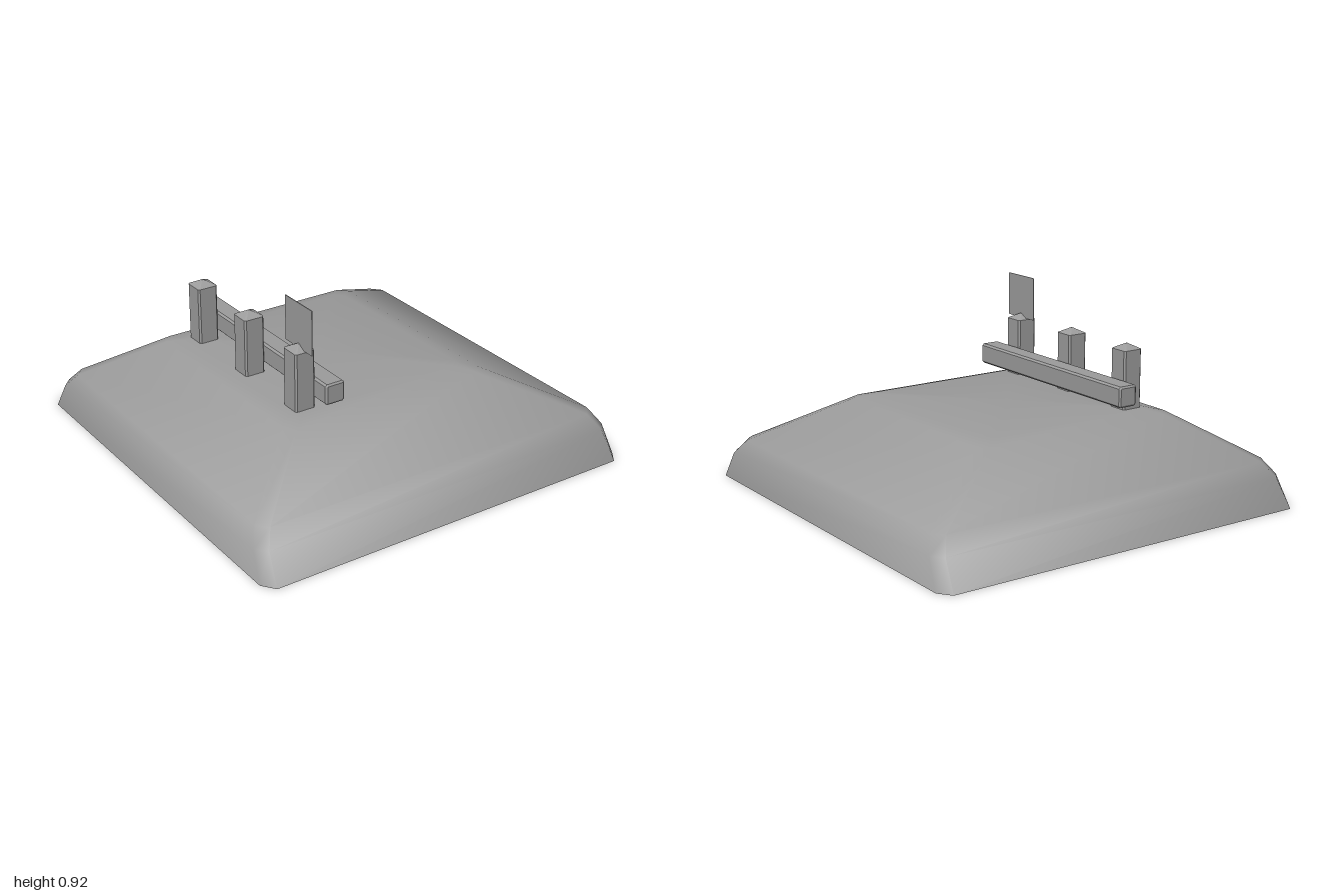
import * as THREE from 'three';

// Vertex normals averaged by corner angle, for a soft rounded look
function softenNormals(g) {
  const p = g.attributes.position, index = g.index.array;
  const sums = Array.from({ length: p.count }, () => new THREE.Vector3());
  for (let t = 0; t < index.length; t += 3) {
    const ids = [index[t], index[t + 1], index[t + 2]];
    const v = ids.map((i) => new THREE.Vector3().fromBufferAttribute(p, i));
    const n = new THREE.Triangle(...v).getNormal(new THREE.Vector3());
    ids.forEach((id, k) => {
      const a = v[(k + 1) % 3].clone().sub(v[k]), b = v[(k + 2) % 3].clone().sub(v[k]);
      sums[id].addScaledVector(n, a.angleTo(b));
    });
  }
  sums.forEach((s, i) => g.attributes.normal.setXYZ(i, ...s.normalize()));
  return g;
}

// Loft through bevelled rectangles [y, xMin, xMax, zHalf, bevelX, bevelZ], lowest first
function loft(levels, topY, closedBottom) {
  const pos = [], index = [];
  for (const [y, x0, x1, z, bx, bz] of levels) {
    for (const [px, pz] of [
      [x1, z - bz], [x1, bz - z], [x1 - bx, -z], [x0 + bx, -z],
      [x0, bz - z], [x0, z - bz], [x0 + bx, z], [x1 - bx, z],
    ]) pos.push(px, y, pz);
  }
  const last = levels.length - 1;
  const centre = (level, y) => {
    pos.push((level[1] + level[2]) / 2, y, 0);
    return pos.length / 3 - 1;
  };
  const top = centre(levels[last], topY);
  const bottom = closedBottom ? centre(levels[0], levels[0][0]) : -1;
  for (let i = 0; i < 8; i++) {
    const j = (i + 1) % 8;
    for (let k = 0; k < last; k++) {
      const a = k * 8 + i, b = k * 8 + j;
      index.push(a, b, b + 8, a, b + 8, a + 8);
    }
    index.push(top, last * 8 + i, last * 8 + j);
    if (closedBottom) index.push(bottom, j, i);
  }
  const g = new THREE.BufferGeometry();
  g.setAttribute('position', new THREE.Float32BufferAttribute(pos, 3));
  g.setIndex(index);
  g.computeVertexNormals();
  return g;
}

export function createModel() {
  const model = new THREE.Group();
  const color = 0x9c9c9c;
  const smooth = new THREE.MeshStandardMaterial({ color, side: THREE.DoubleSide });
  const flat = new THREE.MeshStandardMaterial({ color, flatShading: true });
  const add = (name, geometry, material) => {
    const mesh = new THREE.Mesh(geometry, material);
    mesh.name = name;
    model.add(mesh);
    return mesh;
  };

  // Hollow mound, open underneath, with its plateau shifted to one side
  add('mound', softenNormals(loft([
    [0, -0.964, 0.964, 1, 0.045, 0.06],
    [0.13, -0.948, 0.948, 0.92, 0.045, 0.05],
    [0.2, -0.905, 0.905, 0.86, 0.045, 0.05],
    [0.41, -0.575, 0.48, 0.555, 0.045, 0.045],
    [0.43, -0.49, 0.4, 0.48, 0.04, 0.04],
  ], 0.43, false)), smooth);

  // Three posts with shallow pyramid tops, sunk through the plateau
  const h = 0.05, b = 0.008;
  const postGeometry = loft([
    [0.35, -h, h, h, b, b],
    [0.705, -h, h, h, b, b],
  ], 0.732, true);
  for (const z of [-0.41, 0, 0.41]) add('post', postGeometry, flat).position.set(-0.423, 0, z);

  // Bevelled rail along the inner side of the posts
  const r = 0.049, e = 0.009;
  const rail = add('rail', loft([
    [-0.545, e - r, r - e, r - e, 0.003, 0.003],
    [-0.539, -r, r, r, e, e],
    [0.539, -r, r, r, e, e],
    [0.545, e - r, r - e, r - e, 0.003, 0.003],
  ], 0.545, true).rotateX(Math.PI / 2), flat);
  rail.position.set(-0.326, 0.52, 0);

  // Thin square flag above the front post
  const flag = add('flag', new THREE.BoxGeometry(0.004, 0.21, 0.206), flat);
  flag.position.set(-0.423, 0.814, 0.41);

  return model;
}
